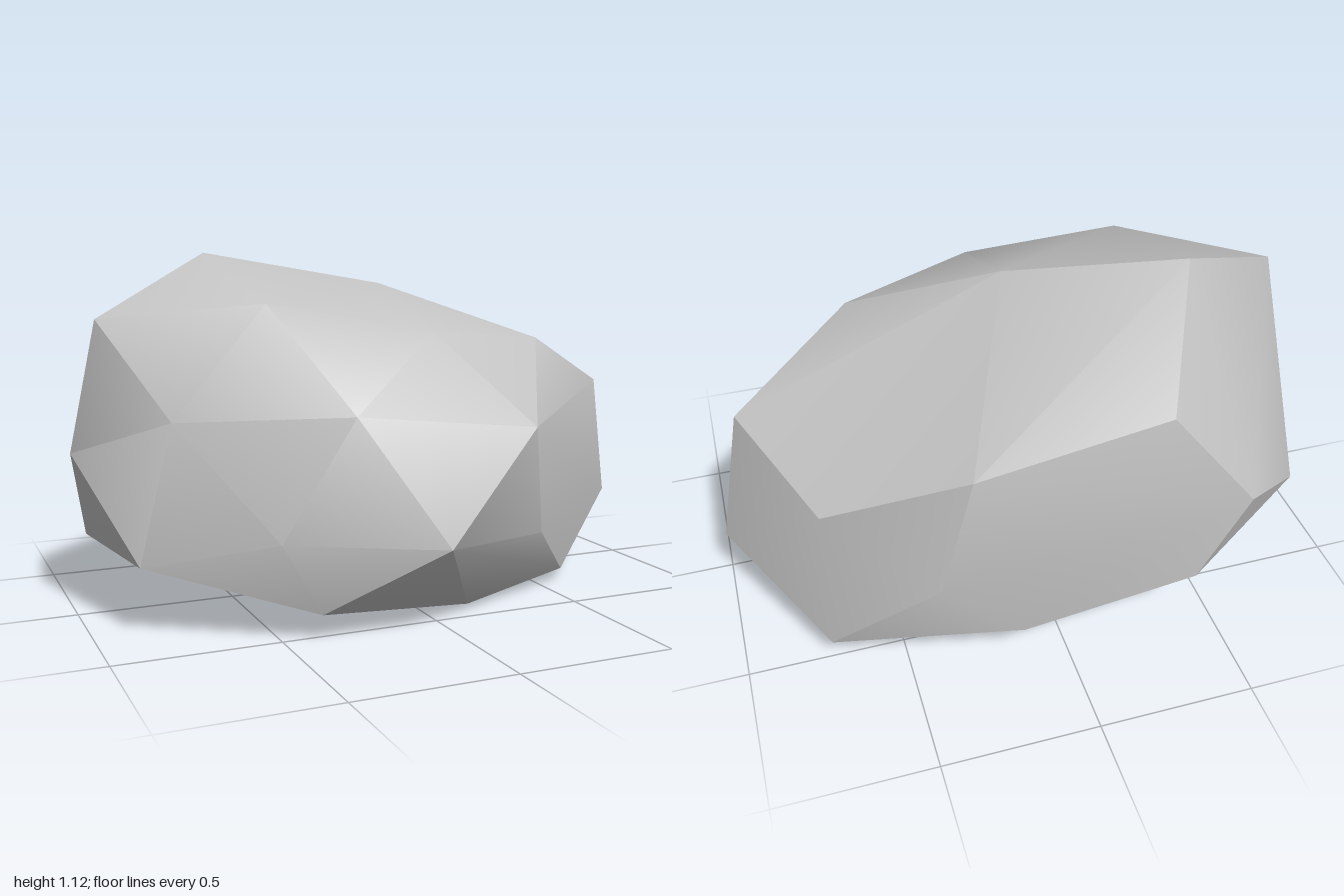
import * as THREE from 'three';
import { ConvexGeometry } from 'three/addons/geometries/ConvexGeometry.js';
import { toCreasedNormals } from 'three/addons/utils/BufferGeometryUtils.js';

// Corners of the boulder, grouped by side
const corners = {
  crown: [[-0.51, 1.12, -0.24], [0.02, 1.02, 0.01], [0.49, 0.84, 0.245], [-0.92, 0.92, 0], [-0.46, 0.97, 0.265]],
  front: [[0.04, 0.88, 0.385], [-0.3, 0.66, 0.59], [0.28, 0.6, 0.61], [-0.06, 0.28, 0.72], [0.365, 0.245, 0.51], [-0.515, 0.3, 0.55]],
  leftSide: [[0.907, 0.655, -0.02], [1, 0.225, -0.08]],
  rightSide: [[-1, 0.505, -0.04], [-0.955, 0.24, -0.07], [-0.87, 0.215, 0.32]],
  back: [[-0.31, 0.86, -0.66], [0.295, 0.77, -0.665], [0.405, 0.39, -0.69], [-0.57, 0.535, -0.72], [-0.86, 0.335, -0.46]],
  base: [[0.71, 0, -0.1], [0.6, 0.04, 0.26], [0.14, 0.02, 0.44], [-0.39, 0.08, 0.545], [0.73, 0.085, -0.52], [0.15, 0.16, -0.705], [-0.41, 0.25, -0.72]],
};

// Hollows: a corner of the hull, and where it is pressed in to
const dents = [
  { from: [0.714, 0.69, -0.42], to: [0.714, 0.525, -0.42] },
  { from: [-0.83, 0.64, 0.325], to: [-0.76, 0.63, 0.29] },
];

function rockGeometry() {
  const points = [...Object.values(corners).flat(), ...dents.map((d) => d.from)];
  const geometry = new ConvexGeometry(points.map((p) => new THREE.Vector3(...p)));
  const position = geometry.attributes.position;
  const vertex = new THREE.Vector3();
  for (const { from, to } of dents) {
    const corner = new THREE.Vector3(...from);
    for (let i = 0; i < position.count; i++) {
      vertex.fromBufferAttribute(position, i);
      if (vertex.distanceTo(corner) < 0.001) position.setXYZ(i, ...to);
    }
  }
  // Gentle bends are smooth, strong ones stay sharp
  return toCreasedNormals(geometry, 0.52);
}

export function createModel() {
  const group = new THREE.Group();
  group.name = 'rock';

  const stone = new THREE.MeshStandardMaterial({ color: 0xc2c2c2 });
  stone.name = 'grey stone';

  const boulder = new THREE.Mesh(rockGeometry(), stone);
  boulder.name = 'boulder';
  group.add(boulder);

  return group;
}
